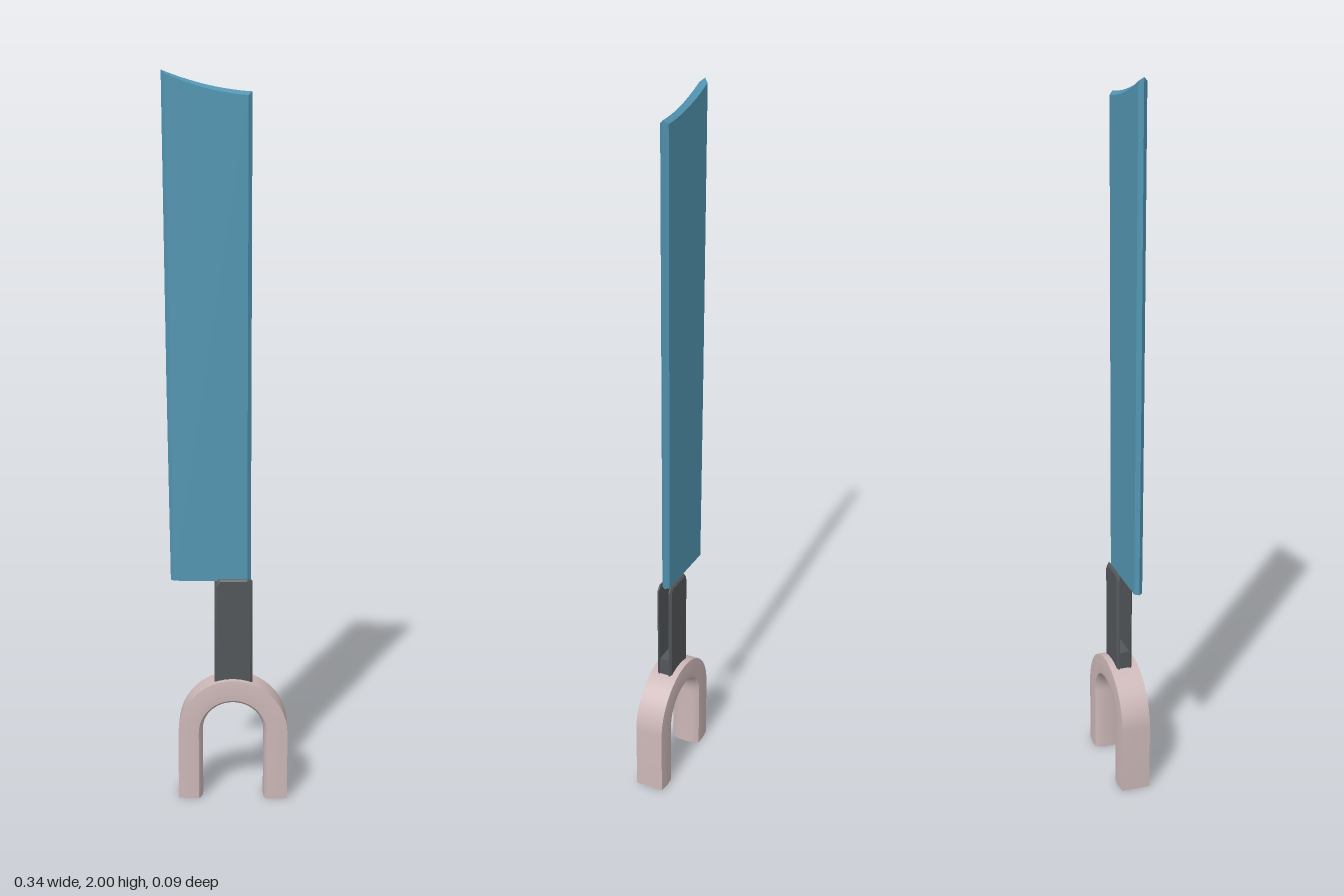
import * as THREE from 'three';
import { toCreasedNormals } from 'three/addons/utils/BufferGeometryUtils.js';

// Skin a stack of matching rings; outline is the counter-clockwise 2D section used for the end caps.
function loft(rings, outline) {
  const pos = [];
  const n = outline.length;
  const tri = (a, b, c) => pos.push(...a, ...b, ...c);
  for (let i = 0; i < rings.length - 1; i++) {
    for (let j = 0; j < n; j++) {
      const k = (j + 1) % n;
      const lo = rings[i], hi = rings[i + 1];
      tri(lo[j], lo[k], hi[k]);
      tri(lo[j], hi[k], hi[j]);
    }
  }
  const faces = THREE.ShapeUtils.triangulateShape(outline.map(([x, y]) => new THREE.Vector2(x, y)), []);
  const first = rings[0], last = rings[rings.length - 1];
  for (const [a, b, c] of faces) {
    tri(first[a], first[c], first[b]);
    tri(last[a], last[b], last[c]);
  }
  const geometry = new THREE.BufferGeometry();
  geometry.setAttribute('position', new THREE.Float32BufferAttribute(pos, 3));
  return toCreasedNormals(geometry, 0.5);
}

const atZ = (outline, z) => outline.map(([x, y]) => [x, y, z]);

// Blade outline: slightly flared left edge, hollow slanted top, square bottom
function bladeOutline(inset) {
  const right = 0.066 - inset;
  const pts = [[-0.156 + inset, 0.63], [right, 0.63]];
  const steps = 10;
  for (let i = 0; i <= steps; i++) {
    const t = i / steps;
    const x = THREE.MathUtils.lerp(right, -0.172 + inset, t);
    pts.push([x, 1.945 + 0.055 * t - 0.04 * t * (1 - t) - inset]);
  }
  pts.push([-0.164 + inset, 1.2]);
  return pts;
}

// Grip plate outline, centred on x = 0, with clipped top corners
function plateOutline(inset) {
  const w = 0.053 - inset, top = 0.636 - inset;
  return [[-w, 0.335], [w, 0.335], [w, top - 0.015], [w - 0.012, top], [-w + 0.012, top], [-w, top - 0.015]];
}

export function createModel() {
  const model = new THREE.Group();
  const blue = new THREE.MeshStandardMaterial({ name: 'bladeBlue', color: 0x5296b3 });
  const grey = new THREE.MeshStandardMaterial({ name: 'gripGrey', color: 0x53575a });
  const pink = new THREE.MeshStandardMaterial({ name: 'forkPink', color: 0xcdb8b8 });

  const add = (name, geometry, material, x = 0, y = 0) => {
    const mesh = new THREE.Mesh(geometry, material);
    mesh.name = name;
    mesh.position.set(x, y, 0);
    model.add(mesh);
    return mesh;
  };

  // Blade with a bevelled ridge along both sides and the top
  const flat = bladeOutline(0.01), ridge = bladeOutline(0);
  add('blade', loft([atZ(flat, -0.0115), atZ(ridge, 0), atZ(flat, 0.0115)], flat), blue);

  // Two grip plates with an open slot between them
  const inner = plateOutline(0), outer = plateOutline(0.006);
  const plate = loft([atZ(inner, 0.0145), atZ(inner, 0.0175), atZ(outer, 0.0225)], inner);
  add('frontGripPlate', plate, grey, 0.018);
  add('backGripPlate', plate, grey, 0.018).rotation.y = Math.PI;

  // Spacer closing the foot of the slot
  add('gripSpacer', new THREE.BoxGeometry(0.1, 0.055, 0.03), grey, 0.018, 0.3625);

  // U-shaped fork: flat outside, softly rounded inside; section is [radius, -z]
  const section = [
    [0.153, -0.041], [0.153, 0.041], [0.12, 0.0445], [0.096, 0.043], [0.09, 0.036], [0.086, 0.02],
    [0.085, 0], [0.086, -0.02], [0.09, -0.036], [0.096, -0.043], [0.12, -0.0445],
  ];
  const ring = (angle, y) => section.map(([r, d]) => [r * Math.cos(angle), y + r * Math.sin(angle), -d]);
  const rings = [ring(0, 0)];
  const steps = 24;
  for (let i = 0; i <= steps; i++) rings.push(ring((Math.PI * i) / steps, 0.195));
  rings.push(ring(Math.PI, 0));
  add('forkHandle', loft(rings, section), pink, 0.017);

  return model;
}
